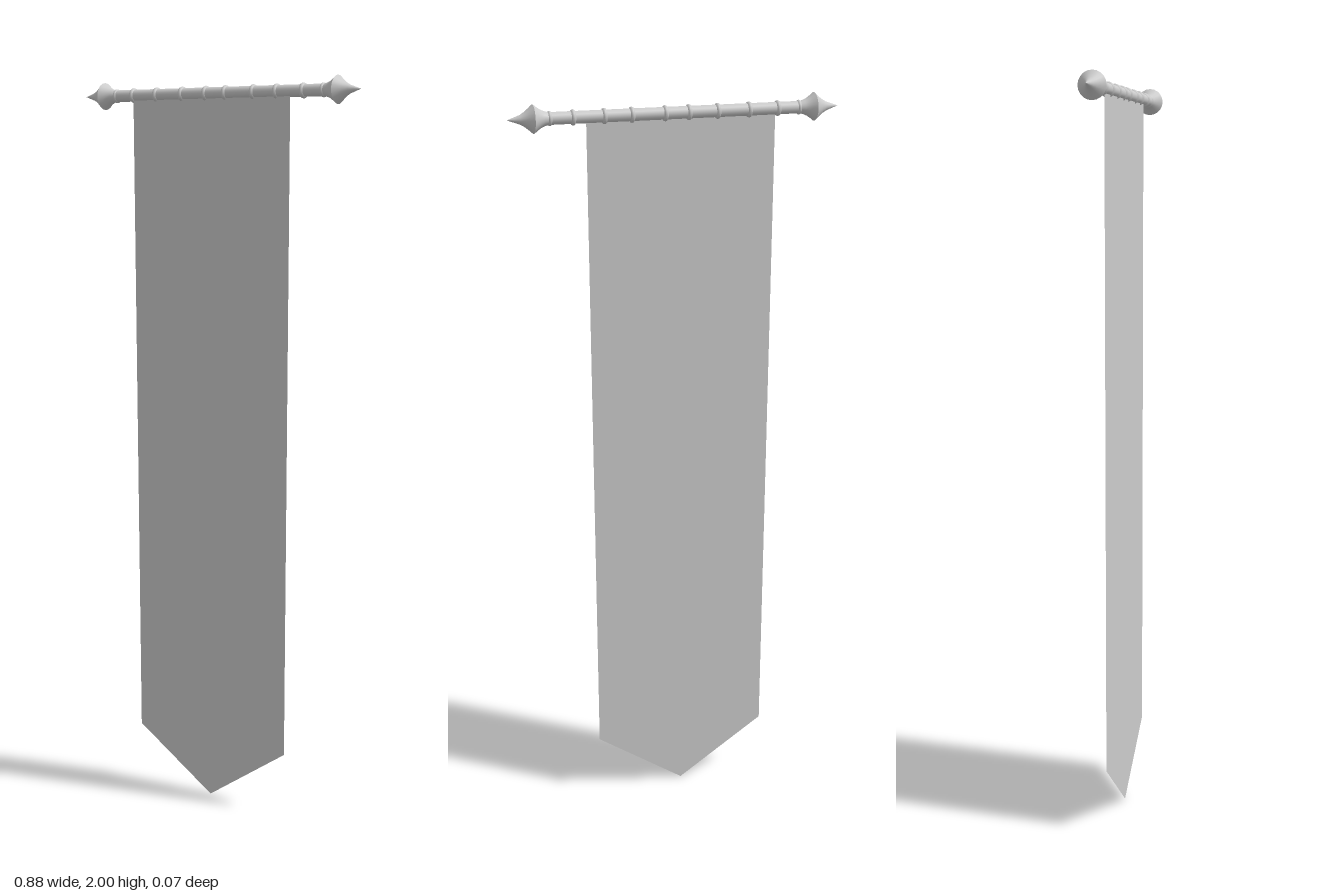
import * as THREE from 'three';

const ROD_Y = 1.963;
const SIDES = 20;
const grey = new THREE.MeshStandardMaterial({ color: 0xcccccc });
const cloth = new THREE.MeshStandardMaterial({ color: 0xcccccc, side: THREE.DoubleSide });

// Lathe turned around the x axis; each point is [x, radius]
function turned(name, points) {
  const geometry = new THREE.LatheGeometry(points.map(([x, r]) => new THREE.Vector2(r, x)), SIDES);
  geometry.rotateZ(-Math.PI / 2);
  const mesh = new THREE.Mesh(geometry, grey);
  mesh.name = name;
  return mesh;
}

export function createModel() {
  const model = new THREE.Group();
  model.name = 'hangingBanner';

  const pole = new THREE.Group();
  pole.name = 'pole';
  pole.position.y = ROD_Y;
  model.add(pole);

  // Straight rod
  pole.add(turned('rod', [[-0.34, 0.016], [0.34, 0.016]]));

  // Rounded rings along the rod
  for (const x of [-0.273, -0.195, -0.11, -0.033, 0.03, 0.118, 0.19, 0.271]) {
    const ring = turned('ring', [[-0.006, 0.015], [-0.004, 0.019], [0, 0.0205], [0.004, 0.019], [0.006, 0.015]]);
    ring.position.x = x;
    pole.add(ring);
  }

  // Pointed finials with a sharp rim, one at each end
  for (const turn of [0, Math.PI]) {
    const finial = new THREE.Group();
    finial.name = turn ? 'rightFinial' : 'leftFinial';
    finial.rotation.y = turn;
    finial.add(
      turned('finialCollar', [[0.326, 0.015], [0.328, 0.018], [0.331, 0.019], [0.334, 0.018], [0.336, 0.015]]),
      turned('finialFlare', [[0.334, 0.016], [0.345, 0.019], [0.354, 0.023], [0.363, 0.029], [0.373, 0.037]]),
      turned('finialPoint', [[0.373, 0.037], [0.383, 0.028], [0.394, 0.019], [0.406, 0.012], [0.42, 0.007], [0.44, 0]])
    );
    pole.add(finial);
  }

  // Thin cloth hanging from the rod, ending in a point
  const outline = new THREE.Shape([
    [-0.27, ROD_Y], [-0.258, 0.165], [-0.015, 0], [0.23, 0.165], [0.235, ROD_Y],
  ].map(([x, y]) => new THREE.Vector2(x, y)));
  const banner = new THREE.Mesh(new THREE.ShapeGeometry(outline), cloth);
  banner.name = 'bannerCloth';
  banner.position.z = 0.008;
  model.add(banner);

  return model;
}
